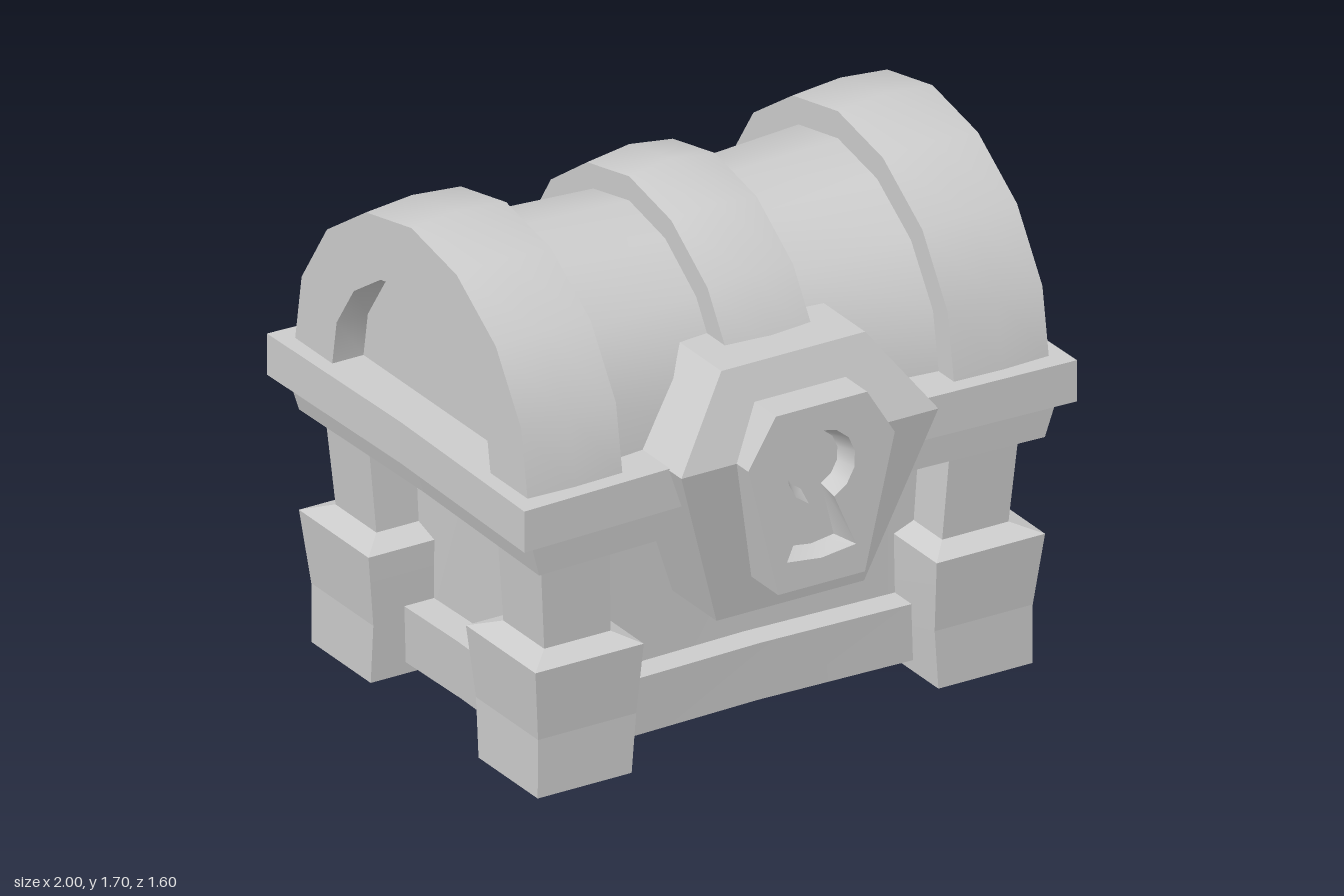
import * as THREE from 'three';
import { toCreasedNormals } from 'three/addons/utils/BufferGeometryUtils.js';

const CZ = -0.06; // depth centre of the chest body
const RIM = 1.04; // height where the lid starts

// Skin between successive rings of points; rings run anticlockwise seen from the loft's end.
function loft(rings, closed = true, crease = 0.3) {
  const pos = [];
  const v = (p) => new THREE.Vector3(...p);
  const tri = (a, b, c) => {
    const n = v(b).sub(v(a)).cross(v(c).sub(v(a)));
    if (n.length() > 1e-7) pos.push(...a, ...b, ...c);
  };
  for (let r = 0; r < rings.length - 1; r++) {
    const a = rings[r], b = rings[r + 1], n = a.length;
    for (let i = 0; i < (closed ? n : n - 1); i++) {
      const j = (i + 1) % n;
      tri(a[i], a[j], b[j]);
      tri(a[i], b[j], b[i]);
    }
  }
  const g = new THREE.BufferGeometry();
  g.setAttribute('position', new THREE.Float32BufferAttribute(pos, 3));
  return toCreasedNormals(g, crease);
}

// Horizontal rectangle with its side midpoints pulled in
function pinched(y, hx, hz, px = 0.985, pz = 0.955) {
  return [
    [-hx, hz], [0, hz * pz], [hx, hz], [hx * px, 0],
    [hx, -hz], [0, -hz * pz], [-hx, -hz], [-hx * px, 0],
  ].map(([x, z]) => [x, y, z + CZ]);
}

// Half of the faceted lid curve: fraction of half width, fraction of height
const ARCH = [[1, 0], [0.945, 0.345], [0.727, 0.685], [0.39, 0.918], [0, 1]];
function arch(x, halfWidth, top) {
  const at = ([w, h], s) => [x, RIM + h * (top - RIM), CZ + s * w * halfWidth];
  return [
    ...ARCH.map((p) => at(p, -1)),
    ...ARCH.slice(0, -1).reverse().map((p) => at(p, 1)),
  ];
}
const lidPart = (stations) => loft(stations.map((s) => arch(...s)), false, 0.6);

// Keyhole outline: round head with a flared slot
function keyhole(r, baseHalf, baseY, dip) {
  const pts = [];
  for (let i = 0; i <= 12; i++) {
    const a = THREE.MathUtils.degToRad(-68 + (316 * i) / 12);
    pts.push(new THREE.Vector2(r * Math.cos(a), 0.985 + r * Math.sin(a)));
  }
  pts.push(new THREE.Vector2(-baseHalf, baseY), new THREE.Vector2(0, baseY - dip),
    new THREE.Vector2(baseHalf, baseY));
  return pts;
}

export function createModel() {
  const model = new THREE.Group();
  model.name = 'chest';
  const grey = new THREE.MeshStandardMaterial({ color: 0xcccccc });
  grey.name = 'grey';
  const add = (name, geometry, parent = model) => {
    const mesh = new THREE.Mesh(geometry, grey);
    mesh.name = name;
    parent.add(mesh);
    return mesh;
  };

  // Body with a protruding skirt at the bottom
  add('body', loft([
    pinched(0.04, 0, 0), pinched(0.04, 0.775, 0.515), pinched(0.24, 0.79, 0.53),
    pinched(0.24, 0.68, 0.43), pinched(0.78, 0.7, 0.45),
  ]));

  // Two stepped rims
  add('lowerRim', loft([
    pinched(0.78, 0, 0), pinched(0.78, 0.915, 0.69), pinched(0.9, 0.95, 0.7),
  ], true, 0.02));
  add('upperRim', loft([
    pinched(0.9, 0, 0), pinched(0.9, 1, 0.74), pinched(RIM, 1, 0.74), pinched(RIM, 0, 0),
  ], true, 0.02));

  // Corner posts on flared feet: y, inner x, outer x, inner z, outer z
  const footRings = [
    [0, 0.725, 0.725, 0.48, 0.48], [0, 0.555, 0.895, 0.31, 0.65],
    [0.2, 0.54, 0.895, 0.295, 0.652], [0.445, 0.53, 0.922, 0.28, 0.68],
    [0.475, 0.6, 0.84, 0.365, 0.6],
  ];
  const postRings = [[0.475, 0.6, 0.84, 0.365, 0.6], [0.78, 0.615, 0.865, 0.37, 0.62]];
  const cornerLoft = (rings, sx, sz) => loft(rings.map(([y, xi, xo, zi, zo]) => {
    const [x0, x1] = sx > 0 ? [xi, xo] : [-xo, -xi];
    const [z0, z1] = sz > 0 ? [CZ + zi, CZ + zo] : [CZ - zo, CZ - zi];
    return [[x0, y, z1], [x1, y, z1], [x1, y, z0], [x0, y, z0]];
  }), true, 0.05);
  for (const [sx, side] of [[1, 'Left'], [-1, 'Right']]) {
    for (const [sz, end] of [[1, 'front'], [-1, 'back']]) {
      add(`${end}${side}Foot`, cornerLoft(footRings, sx, sz));
      add(`${end}${side}Post`, cornerLoft(postRings, sx, sz));
    }
  }

  // Lid barrel, narrowing to the middle
  add('lidBarrel', lidPart([
    [-0.65, 0.585, 1.597], [-0.155, 0.53, 1.578], [0.155, 0.53, 1.578], [0.65, 0.585, 1.597],
  ]));

  // Raised middle strap
  add('lidMiddleBand', lidPart([
    [-0.155, 0.5, 1.5], [-0.155, 0.62, 1.66], [0, 0.63, 1.682],
    [0.155, 0.62, 1.66], [0.155, 0.5, 1.5],
  ]));

  // End bands with a recessed arched panel
  const endBand = [
    [0.6, 0.5, 1.5], [0.6, 0.668, 1.687], [0.775, 0.675, 1.703], [0.943, 0.668, 1.687],
    [0.943, 0.455, 1.474], [0.83, 0.455, 1.474], [0.83, 0, RIM],
  ];
  add('lidLeftBand', lidPart(endBand));
  add('lidRightBand', lidPart(endBand.map(([x, w, t]) => [-x, w, t]).reverse()));

  // Lock plate: hexagon folded along its widest line
  const lock = new THREE.Group();
  lock.name = 'lock';
  model.add(lock);
  const plate = [
    [0.26, 1.31, 0.637], [-0.26, 1.31, 0.637], [-0.465, 1.035, 0.733],
    [-0.267, 0.455, 0.62], [0.267, 0.455, 0.62], [0.465, 1.035, 0.733],
  ];
  add('lockPlate', loft([
    plate.map(([x, y]) => [x, y, 0.33]), plate, plate.map(([, y, z]) => [0, y, z]),
  ], true, 0.05), lock);

  // Raised lock case
  const caseOutline = [
    [0.165, 1.197], [-0.165, 1.197], [-0.265, 1.035],
    [-0.157, 0.588], [0.157, 0.588], [0.265, 1.035],
  ];
  add('lockCaseSides', loft([0.58, 0.8].map((z) => caseOutline.map(([x, y]) => [x, y, z]))), lock);
  const outer = keyhole(0.123, 0.125, 0.69, 0.015);
  const inner = keyhole(0.098, 0.083, 0.71, 0.012);
  const face = new THREE.Shape(caseOutline.map(([x, y]) => new THREE.Vector2(x, y)));
  face.holes.push(new THREE.Path(outer));
  add('lockCaseFace', new THREE.ShapeGeometry(face), lock).position.z = 0.8;

  // Keyhole recess
  const ring = (pts, z) => pts.map((p) => [p.x, p.y, z]);
  add('keyholeWall', loft([ring(outer, 0.8), ring(inner, 0.738)], true, 0.6), lock);
  add('keyholeFloor', new THREE.ShapeGeometry(new THREE.Shape(inner)), lock).position.z = 0.738;

  return model;
}
